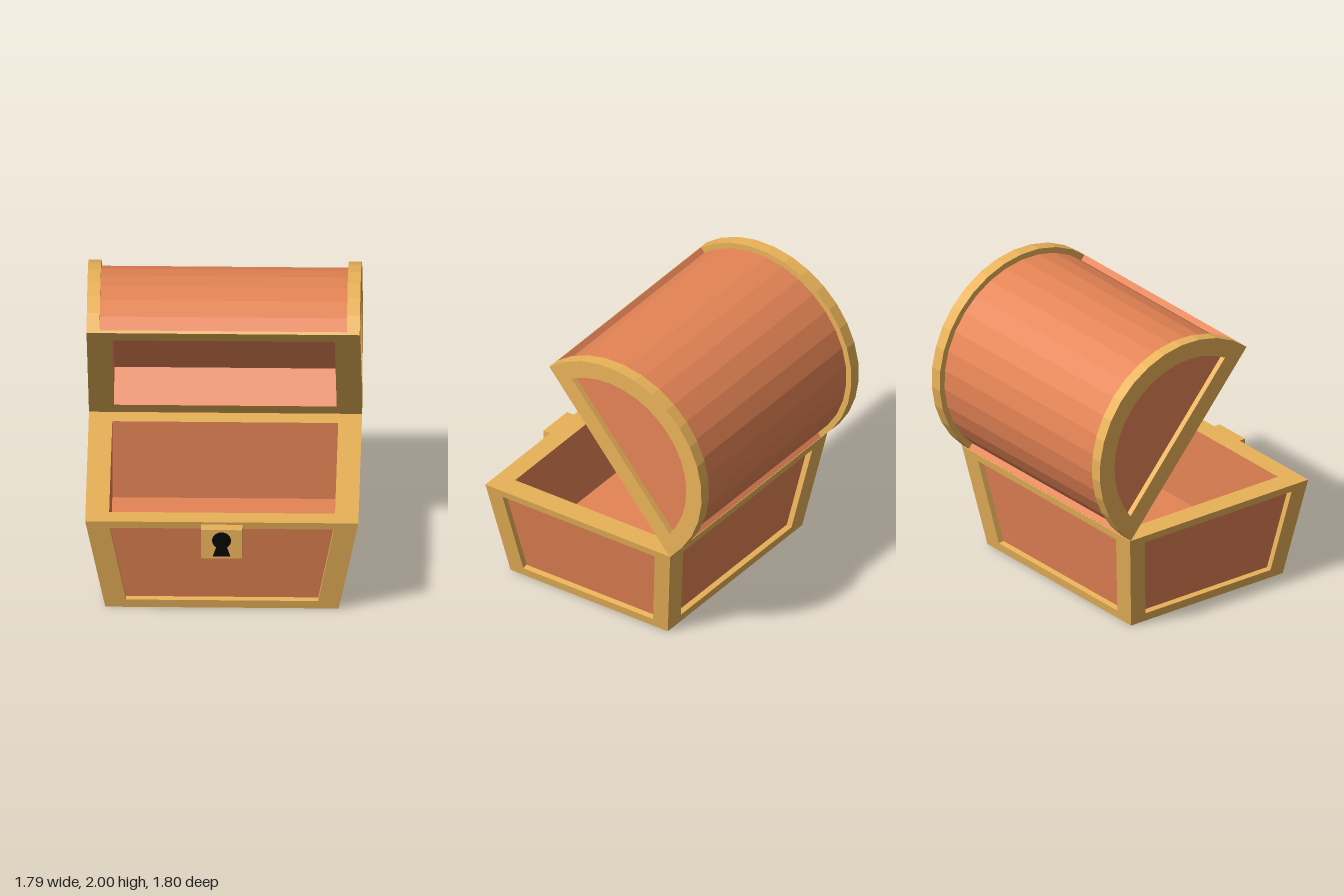
import * as THREE from 'three';

const WOOD = 0xe58455, TRIM = 0xe9b259;

function mesh(name, geometry, color) {
  const m = new THREE.Mesh(geometry, new THREE.MeshStandardMaterial({ color, flatShading: true }));
  m.name = name;
  return m;
}

// Each quad is four [x, y, z] corners, counter-clockwise from its front
function quads(list) {
  const g = new THREE.BufferGeometry();
  const pos = list.flatMap(([a, b, c, d]) => [a, b, c, a, c, d].flat());
  g.setAttribute('position', new THREE.Float32BufferAttribute(pos, 3));
  g.computeVertexNormals();
  return g;
}

// Open-topped box facing inwards, its opening at y = 0
function hollow(w, d, depth) {
  const ring = (y) => [[-w, y, d], [w, y, d], [w, y, -d], [-w, y, -d]];
  const low = ring(-depth), top = ring(0), list = [low];
  for (let i = 0; i < 4; i++) {
    const j = (i + 1) % 4;
    list.push([low[j], low[i], top[i], top[j]]);
  }
  return quads(list);
}

// Flat rectangular frame, lying with its face up
function flatFrame(w, d, holeW, holeD) {
  const rect = (path, a, b) => path.moveTo(-a, -b).lineTo(a, -b).lineTo(a, b).lineTo(-a, b).closePath();
  const shape = new THREE.Shape(), hole = new THREE.Path();
  rect(shape, w, d);
  rect(hole, holeW, holeD);
  shape.holes.push(hole);
  return new THREE.ShapeGeometry(shape).rotateX(-Math.PI / 2);
}

// Half disc (cut off below the height h) with 16 facets
function halfDisc(r, h = 0, Type = THREE.Shape) {
  const a0 = Math.asin(h / r), pts = [];
  for (let i = 0; i <= 16; i++) {
    const a = a0 + (Math.PI - 2 * a0) * i / 16;
    pts.push(new THREE.Vector2(r * Math.cos(a), r * Math.sin(a)));
  }
  return new Type(pts);
}

// Chest body: four sloping sides, each a trim frame around a sunken panel
const H = 0.7, HX = [0.765, 0.895], HZ = [0.63, 0.74], INX = 0.74, INZ = 0.61;

function bodySide(name, width, depth, panelWidth, turn) {
  const slope = (depth[1] - depth[0]) / H;
  // sunk at right angles to the slope
  const at = (x, y, sink) => [x, y + sink * slope, depth[0] + slope * y - sink];
  const ring = (w, y0, y1, sink) =>
    [at(-w[0], y0, sink), at(w[0], y0, sink), at(w[1], y1, sink), at(-w[1], y1, sink)];
  const outer = ring(width, 0, H, 0);
  const inner = ring(panelWidth, 0.06, 0.648, 0);
  const panel = ring(panelWidth, 0.06, 0.648, 0.038);
  const frame = [];
  for (let i = 0; i < 4; i++) {
    const j = (i + 1) % 4;
    frame.push([outer[i], outer[j], inner[j], inner[i]], [inner[i], inner[j], panel[j], panel[i]]);
  }
  const g = new THREE.Group();
  g.name = name;
  g.add(mesh('sideFrame', quads(frame), TRIM), mesh('sidePanel', quads([panel]), WOOD));
  g.rotation.y = turn;
  return g;
}

function createBody() {
  const body = new THREE.Group();
  body.name = 'chestBody';
  body.add(
    bodySide('frontSide', HX, HZ, [0.63, 0.735], 0),
    bodySide('leftSide', HZ, HX, [0.52, 0.61], Math.PI / 2),
    bodySide('backSide', HX, HZ, [0.63, 0.735], Math.PI),
    bodySide('rightSide', HZ, HX, [0.52, 0.61], -Math.PI / 2),
    mesh('bodyRim', flatFrame(HX[1], HZ[1], INX, INZ).translate(0, H, 0), TRIM),
    mesh('bodyInterior', hollow(INX, INZ, 0.57).translate(0, H, 0), WOOD),
    mesh('bodyBottom', new THREE.PlaneGeometry(2 * HX[0], 2 * HZ[0]).rotateX(Math.PI / 2), TRIM),
  );
  body.position.z = 0.09;
  return body;
}

// Lid, built closed (flat side down) and then swung open
function createLid() {
  const lid = new THREE.Group();
  lid.name = 'lid';
  const R = 0.74, barrelR = 0.7, bandWidth = 0.085, bandX = HX[1] - bandWidth, panelX = 0.855, edge = 0.02;

  const barrel = new THREE.CylinderGeometry(barrelR, barrelR, 2 * panelX, 16, 1, true, 0, Math.PI);
  lid.add(mesh('lidBarrel', barrel.rotateZ(Math.PI / 2), WOOD));

  const band = halfDisc(R);
  band.holes.push(halfDisc(0.617, 0.12, THREE.Path));
  for (const s of [1, -1]) {
    // Arched end band with a sunken end panel
    const bandGeo = new THREE.ExtrudeGeometry(band, { depth: bandWidth, bevelEnabled: false });
    bandGeo.rotateY(-Math.PI / 2).translate(s > 0 ? HX[1] : -bandX, 0, 0);
    lid.add(mesh('lidEndBand', bandGeo, TRIM));
    const end = new THREE.ShapeGeometry(halfDisc(0.66, 0.06));
    lid.add(mesh('lidEndPanel', end.rotateY(s * Math.PI / 2).translate(s * panelX, 0, 0), WOOD));

    // Thin long edge with a wooden ledge up to the barrel
    const edgeGeo = new THREE.PlaneGeometry(2 * bandX, edge).rotateY(s > 0 ? 0 : Math.PI);
    lid.add(mesh('lidEdge', edgeGeo.translate(0, edge / 2, s * R), TRIM));
    const ledge = new THREE.PlaneGeometry(2 * bandX, 0.045).rotateX(-Math.PI / 2);
    lid.add(mesh('lidLedge', ledge.translate(0, edge, s * (R - 0.0225)), WOOD));
  }

  // Underside rim and shallow hollow
  lid.add(mesh('lidRim', flatFrame(bandX, R, 0.73, 0.605).rotateZ(Math.PI), TRIM));
  lid.add(mesh('lidInterior', hollow(0.73, 0.605, 0.265).rotateZ(Math.PI), WOOD));

  lid.rotation.x = -THREE.MathUtils.degToRad(49.5);
  lid.position.set(0, 1.264, -0.1625);
  return lid;
}

// Lock block with a keyhole
function createLock() {
  const lock = new THREE.Group();
  lock.name = 'lock';
  lock.add(mesh('lockBlock', new THREE.BoxGeometry(0.27, 0.212, 0.14).translate(0, 0.575, 0.83), TRIM));
  const hole = new THREE.Shape();
  hole.moveTo(-0.058, 0.485).lineTo(0.058, 0.485).lineTo(0.035, 0.555);
  hole.absarc(0, 0.603, 0.062, -0.96, Math.PI + 0.96, false);
  hole.closePath();
  lock.add(mesh('keyhole', new THREE.ShapeGeometry(hole, 16).translate(0, 0, 0.902), 0x050505));
  return lock;
}

export function createModel() {
  const chest = new THREE.Group();
  chest.name = 'treasureChest';
  chest.add(createBody(), createLid(), createLock());
  return chest;
}
